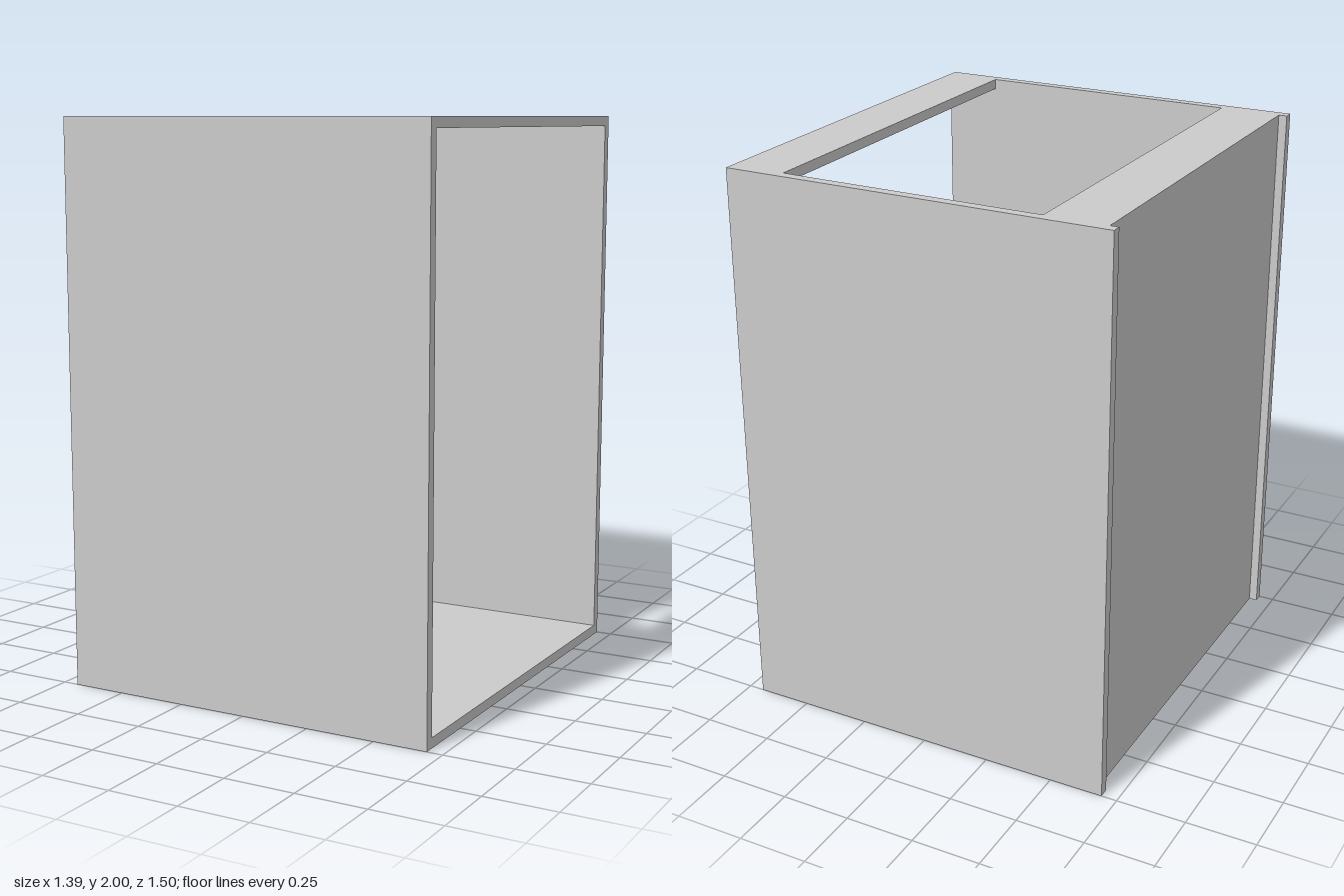
import * as THREE from 'three';

// Open-fronted cabinet carcass; the opening faces +x.
const H = 2, X = 0.694, Z = 0.75, T = 0.036;
const PANEL_BACK = -0.664, PANEL_FRONT = -0.644; // recessed back panel
const RAIL_W = 0.2;

export function createModel() {
  const group = new THREE.Group();
  const material = new THREE.MeshStandardMaterial({ color: 0xcccccc });

  // Board given by its extents along each axis
  const board = (name, x0, x1, y0, y1, z0, z1) => {
    const mesh = new THREE.Mesh(new THREE.BoxGeometry(x1 - x0, y1 - y0, z1 - z0), material);
    mesh.position.set((x0 + x1) / 2, (y0 + y1) / 2, (z0 + z1) / 2);
    mesh.name = name;
    group.add(mesh);
  };
  const inner = Z - T;

  // Full-height side boards
  board('sidePanelFront', -X, X, 0, H, inner, Z);
  board('sidePanelRear', -X, X, 0, H, -Z, -inner);

  // Thin panel set in from the ends of the sides
  board('backPanel', PANEL_BACK, PANEL_FRONT, 0, H, -inner, inner);

  // Floor and the two top rails
  board('bottomPanel', PANEL_FRONT, X, 0, T, -inner, inner);
  board('topRailOpening', X - RAIL_W, X, H - T, H, -inner, inner);
  board('topRailBack', PANEL_FRONT, PANEL_FRONT + RAIL_W, H - T, H, -inner, inner);

  return group;
}
